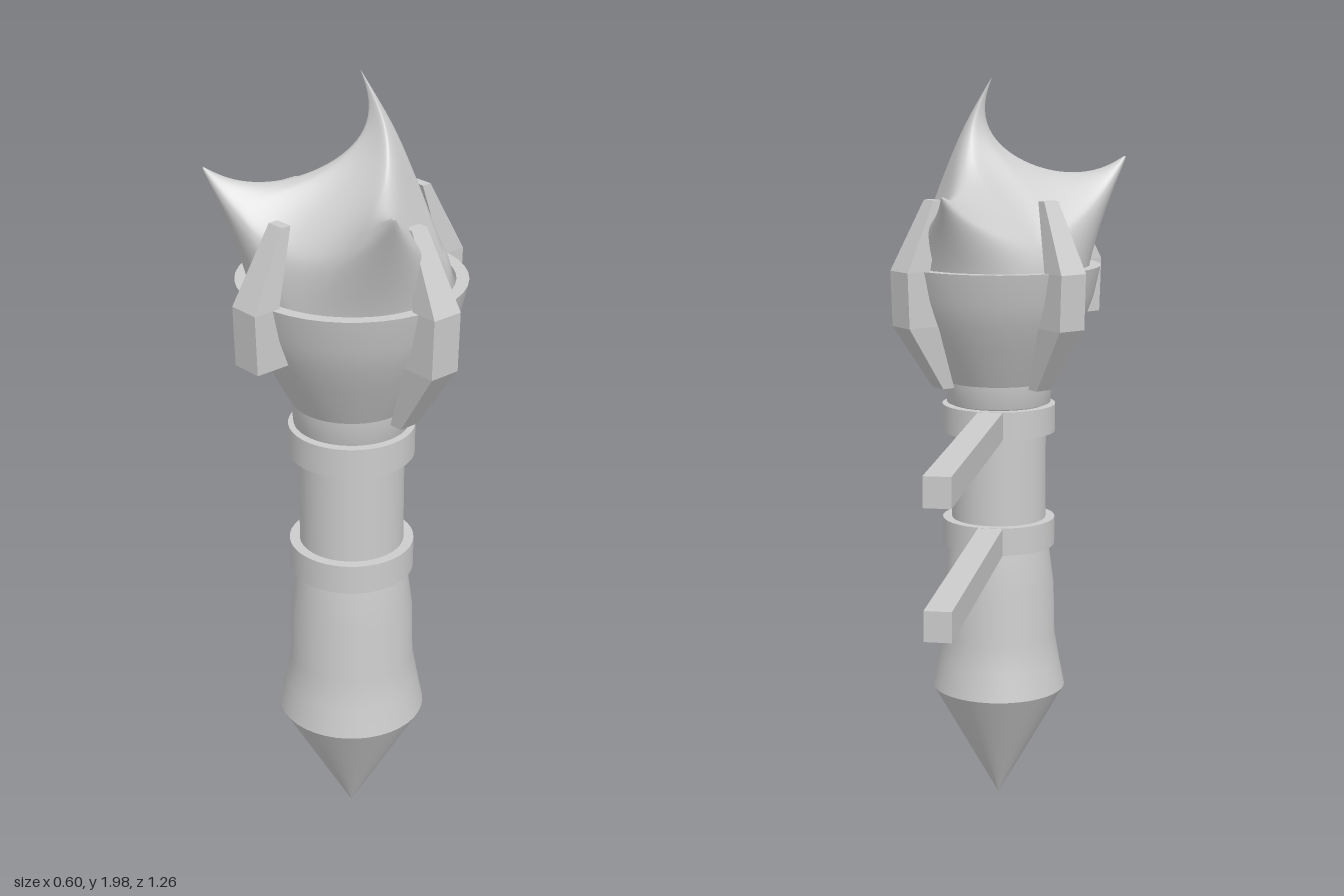
import * as THREE from 'three';
import { mergeVertices } from 'three/addons/utils/BufferGeometryUtils.js';

const mat = new THREE.MeshStandardMaterial({ color: 0xcccccc, side: THREE.DoubleSide });
const flat = new THREE.MeshStandardMaterial({ color: 0xcccccc, flatShading: true });

function part(parent, name, geometry, material = mat) {
  const mesh = new THREE.Mesh(geometry, material);
  mesh.name = name;
  parent.add(mesh);
  return mesh;
}

const lathe = (points) =>
  new THREE.LatheGeometry(points.map(([r, y]) => new THREE.Vector2(r, y)), 40);

// Claw: a box whose rings follow [height, inner radius, outer radius, width]
function clawGeometry(rings) {
  const n = rings.length - 1;
  const g = new THREE.BoxGeometry(1, 1, 1, 1, n, 1);
  const p = g.attributes.position;
  for (let i = 0; i < p.count; i++) {
    const [y, inner, outer, width] = rings[Math.round((p.getY(i) + 0.5) * n)];
    p.setXYZ(i, p.getX(i) > 0 ? outer : inner, y, p.getZ(i) * width);
  }
  g.computeVertexNormals();
  return g;
}

// Flame: a flattened dome with tongues pulled out towards their tips
function flameGeometry() {
  const dome = (n) => {
    const s = Math.hypot(n.x, n.z) || 1e-6;
    const r = 0.235 * Math.pow(s, 0.85) / s;
    return new THREE.Vector3(n.x * r, 1.44 + 0.21 * Math.pow(Math.max(n.y, 0), 0.65), n.z * r);
  };
  const tongues = [
    { tip: [0.01, 2.005, -0.005], rise: 1, reach: 0.215, power: 1.4, blunt: 0.012, pinch: 0.96, bend: 0.06 },
    { tip: [-0.33, 1.79, 0.08], rise: 0.58, reach: 0.2, power: 1.4, blunt: 0.03, pinch: 0.78, bend: 0 },
    { tip: [0.11, 1.77, 0.33], rise: 0.55, reach: 0.185, power: 1.35, blunt: 0.035, pinch: 0.68, bend: 0 },
    { tip: [0.10, 1.70, -0.3], rise: 0.55, reach: 0.185, power: 1.4, blunt: 0.03, pinch: 0.74, bend: 0 },
  ].map((t) => {
    const tip = new THREE.Vector3(...t.tip);
    const out = new THREE.Vector3(tip.x, 0, tip.z).setLength(Math.sqrt(1 - t.rise ** 2));
    out.y = t.rise;
    const base = dome(out);
    return { ...t, base, pull: tip.sub(base) };
  });

  let g = new THREE.SphereGeometry(1, 160, 72, 0, Math.PI * 2, 0, Math.PI / 2);
  g.deleteAttribute('uv');
  g.deleteAttribute('normal');
  g = mergeVertices(g, 1e-5);
  const pos = g.attributes.position;
  const n = new THREE.Vector3();
  for (let i = 0; i < pos.count; i++) {
    const p = dome(n.fromBufferAttribute(pos, i));
    const q = p.clone();
    // the foot of the dome stays put, and neighbouring tongues share the pull
    const hold = THREE.MathUtils.smoothstep(p.y, 1.46, 1.56);
    const weights = tongues.map((t) => {
      const d = Math.hypot(p.distanceTo(t.base), t.blunt) - t.blunt;
      return hold * Math.max(0, 1 - d / t.reach) ** t.power;
    });
    const total = weights.reduce((a, b) => a + b, 1e-9);
    tongues.forEach((t, k) => {
      const w = weights[k] ** 2 / total;
      q.addScaledVector(t.pull, w);
      q.addScaledVector(t.base.clone().sub(p), w * t.pinch);
      q.x += t.bend * Math.sin(Math.PI * w);
    });
    pos.setXYZ(i, q.x, q.y, q.z);
  }
  g.computeVertexNormals();
  return g;
}

export function createModel() {
  const model = new THREE.Group();
  model.name = 'wallTorch';

  // Everything round shares one upright axis in front of the wall bars
  const torch = new THREE.Group();
  torch.name = 'torch';
  torch.position.set(0.027, 0, 0.3);
  model.add(torch);

  part(torch, 'point', lathe([[0, 0.005], [0.183, 0.33]]));
  part(torch, 'grip', lathe([[0.183, 0.33], [0.168, 0.405], [0.155, 0.48], [0.152, 0.62], [0.136, 0.74]]));
  part(torch, 'shaft', lathe([[0.128, 0.73], [0.128, 1.14]]));
  part(torch, 'collar', lathe([[0.128, 1.125], [0.14, 1.13], [0.146, 1.19]]));
  part(torch, 'cup', lathe([[0.146, 1.19], [0.17, 1.235], [0.203, 1.3], [0.232, 1.36], [0.254, 1.42], [0.272, 1.5]]));
  const rim = part(torch, 'cupRim', new THREE.RingGeometry(0.242, 0.272, 40));
  rim.rotation.x = -Math.PI / 2;
  rim.position.y = 1.5;
  part(torch, 'cupInside', lathe([[0.242, 1.5], [0.235, 1.44], [0, 1.44]]));
  part(torch, 'flame', flameGeometry());

  // Four claws around the cup; one of them is broken off short
  const rings = [
    [1.185, 0.165, 0.2, 0.05],
    [1.355, 0.225, 0.315, 0.08],
    [1.5, 0.25, 0.32, 0.08],
    [1.68, 0.2, 0.225, 0.045],
  ];
  for (let i = 0; i < 4; i++) {
    const broken = i === 2;
    const claw = part(torch, broken ? 'brokenClaw' : 'claw', clawGeometry(broken ? rings.slice(1) : rings), flat);
    claw.rotation.y = Math.PI / 4 + i * Math.PI / 2;
  }

  // Two bands, each with a bar running back to the wall
  for (const y of [0.7725, 1.0875]) {
    const band = new THREE.Group();
    band.name = 'band';
    band.position.y = y;
    torch.add(band);
    part(band, 'bandUnderside', lathe([[0.128, -0.0375], [0.153, -0.0375]]));
    part(band, 'bandSide', lathe([[0.153, -0.0375], [0.153, 0.0375]]));
    part(band, 'bandTop', lathe([[0.153, 0.0375], [0.128, 0.0375]]));
    part(model, 'wallBar', new THREE.BoxGeometry(0.066, 0.074, 0.79), flat).position.set(0.027, y, -0.24);
  }
  return model;
}
